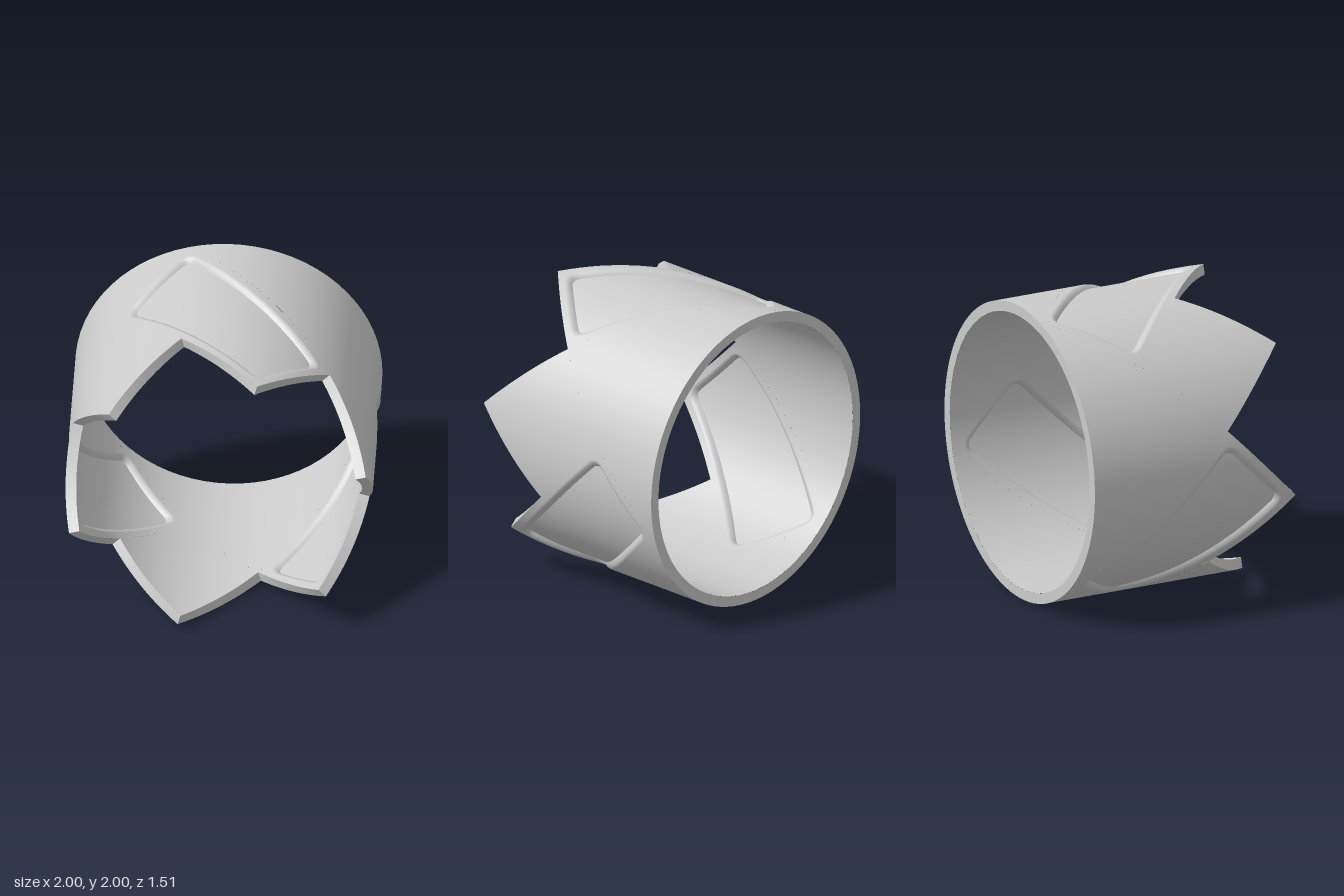
import * as THREE from 'three';

// The sleeve is laid out unrolled: X counts 15 degree steps around the ring, Z quarter-ish steps along it.
// The diagonal axes p = X + Z and q = X - Z follow the teeth and the slanted panels.
const OUTER = 1, INNER = 0.93, RECESS = 0.033, STEP_Z = 0.2525;
const material = new THREE.MeshStandardMaterial({ color: 0xcccccc });

function wrap(X, Z, radius, turn = 0) {
  const a = Math.PI / 2 - (X * 15 + turn * 120) * Math.PI / 180;
  return new THREE.Vector3(radius * Math.cos(a), 1 + radius * Math.sin(a), Z * STEP_Z);
}

// Smooth surface patch from f(u, v); its front faces along dF/du x dF/dv
function patch(name, f, nu, nv) {
  const pos = [], nor = [], idx = [], e = 1e-3;
  const inside = t => THREE.MathUtils.clamp(t, 2 * e, 1 - 2 * e);
  for (let j = 0; j <= nv; j++) {
    for (let i = 0; i <= nu; i++) {
      const u = i / nu, v = j / nv, a = inside(u), b = inside(v);
      pos.push(...f(u, v).toArray());
      const du = f(a + e, b).sub(f(a - e, b));
      const dv = f(a, b + e).sub(f(a, b - e));
      nor.push(...du.normalize().cross(dv.normalize()).normalize().toArray());
      if (i < nu && j < nv) {
        const k = j * (nu + 1) + i, l = k + nu + 1;
        idx.push(k, k + 1, l + 1, k, l + 1, l);
      }
    }
  }
  const g = new THREE.BufferGeometry();
  g.setAttribute('position', new THREE.Float32BufferAttribute(pos, 3));
  g.setAttribute('normal', new THREE.Float32BufferAttribute(nor, 3));
  g.setIndex(idx);
  const mesh = new THREE.Mesh(g, material);
  mesh.name = name;
  return mesh;
}

// Point on a rounded rectangle in (p, q), t = 0..1 once around, denser near the corners
function loop(t, P, Q, r) {
  const corners = [[P, Q], [-P, Q], [-P, -Q], [P, -Q]];
  const side = Math.floor(t * 4), k = (1 - Math.cos(Math.PI * (t * 4 - side))) / 2;
  const A = corners[side % 4], B = corners[(side + 1) % 4];
  const p = A[0] + (B[0] - A[0]) * k, q = A[1] + (B[1] - A[1]) * k;
  if (!r) return [p, q];
  const cp = THREE.MathUtils.clamp(p, r - P, P - r), cq = THREE.MathUtils.clamp(q, r - Q, Q - r);
  const d = Math.hypot(p - cp, q - cq) || 1;
  return [cp + r * (p - cp) / d, cq + r * (q - cq) / d];
}
const mix = (a, b, k) => [a[0] + (b[0] - a[0]) * k, a[1] + (b[1] - a[1]) * k];

const tile = t => loop(t, 4, 2, 0);
const rimEdge = t => loop(t, 3.77, 1.75, 0.5);
const panelEdge = t => loop(t, 3.53, 1.51, 0.3);

// Pieces of one third of the ring: each gives [p, q, recess depth]
const pieces = [
  ['panelSurround', (u, v) => [...mix(tile(u), rimEdge(u), v), 0], 96, 2],
  ['panelRim', (u, v) => [...mix(rimEdge(u), panelEdge(u), v), RECESS * v * v], 96, 5],
  ['recessedPanel', (u, v) => [...mix(panelEdge(u), [0, 0], v), RECESS], 96, 8],
  ['plainTooth', (u, v) => [4 + 4 * u, 2 + 4 * v, 0], 16, 16],
  ['plainWall', (u, v) => [-4 + 8 * u, 2 + 8 * u * v, 0], 24, 24],
];

export function createModel() {
  const model = new THREE.Group();
  model.name = 'toothedSleeve';

  // Outer and inner skins, three turns each
  for (let turn = 0; turn < 3; turn++) {
    for (const [name, f, nu, nv] of pieces) {
      const place = (u, v, inner) => {
        const [p, q, d] = f(u, v);
        return wrap((p + q) / 2, (p - q) / 2, inner ? INNER + d : OUTER - d, turn);
      };
      model.add(patch(name + 'Outer', (u, v) => place(u, v, false), nu, nv));
      model.add(patch(name + 'Inner', (u, v) => place(1 - u, v, true), nu, nv));
    }
  }

  // Zigzag front edge, from tip to notch and back
  for (let i = 0; i < 12; i++) {
    const z0 = i % 2 ? 1 : 3, z1 = 4 - z0;
    model.add(patch('toothEdge', (u, v) =>
      wrap(1 + 2 * (i + u), z0 + (z1 - z0) * u, INNER + (OUTER - INNER) * v), 16, 1));
  }

  // Flat back edge
  model.add(patch('backEdge', (u, v) =>
    wrap(24 * (1 - u), -3, INNER + (OUTER - INNER) * v), 144, 1));
  return model;
}
